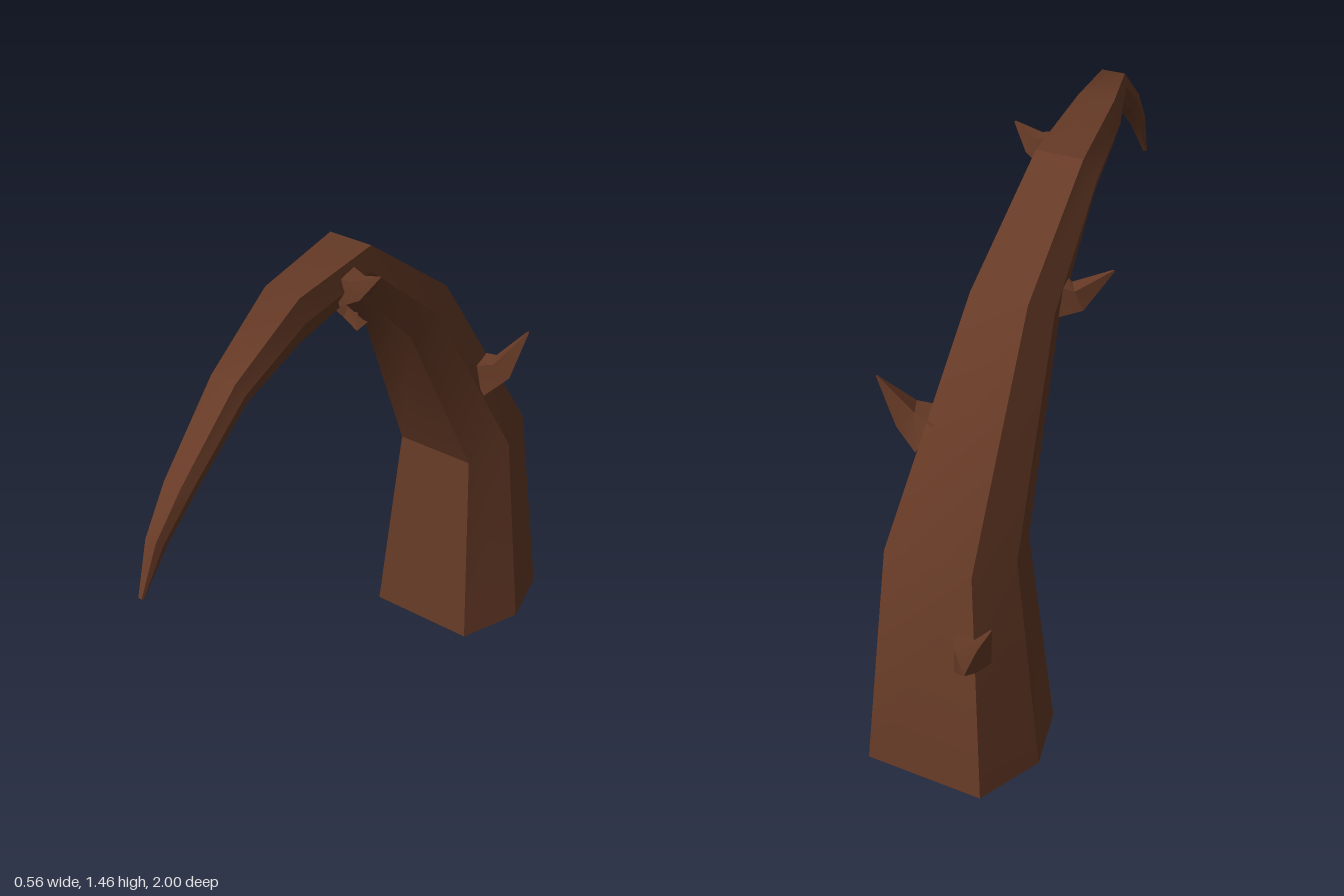
import * as THREE from 'three';
import { toCreasedNormals } from 'three/addons/utils/BufferGeometryUtils.js';

// Skin a list of rings (arrays of Vector3, counterclockwise about the direction of travel).
function loft(rings, closeEnd) {
  const pos = [];
  const tri = (...pts) => pts.forEach((p) => pos.push(p.x, p.y, p.z));
  for (let r = 0; r < rings.length - 1; r++) {
    const a = rings[r], b = rings[r + 1], n = a.length;
    for (let i = 0; i < n; i++) {
      const j = (i + 1) % n;
      tri(a[i], a[j], b[j]);
      tri(a[i], b[j], b[i]);
    }
  }
  if (closeEnd) {
    const end = rings[rings.length - 1];
    for (let i = 1; i < end.length - 1; i++) tri(end[0], end[i], end[i + 1]);
  }
  const g = new THREE.BufferGeometry();
  g.setAttribute('position', new THREE.Float32BufferAttribute(pos, 3));
  return toCreasedNormals(g, Math.PI / 6);
}

// Hexagonal ring: centre x, half width, inner (z, y) and outer (z, y) flats.
function hexRing([cx, hw, zi, yi, zo, yo]) {
  const f = hw * 0.73, zm = (zi + zo) / 2, ym = (yi + yo) / 2;
  const v = (x, y, z) => new THREE.Vector3(x, y, z);
  return [
    v(cx + hw, ym, zm), v(cx + f, yo, zo), v(cx - f, yo, zo),
    v(cx - hw, ym, zm), v(cx - f, yi, zi), v(cx + f, yi, zi),
  ];
}

// Bent four-sided thorn through base, middle and tip points.
function thornGeometry(base, mid, tip, half) {
  const pts = [base, mid, tip].map((p) => new THREE.Vector3(...p));
  const sizes = [half, half * 0.62, 0.002];
  const rings = pts.map((p, k) => {
    const t = pts[Math.min(k + 1, 2)].clone().sub(pts[Math.max(k - 1, 0)]).normalize();
    const u = new THREE.Vector3(0, 1, 0).cross(t).normalize();
    const w = t.clone().cross(u);
    return [[1, 1], [-1, 1], [-1, -1], [1, -1]].map(([a, b]) =>
      p.clone().addScaledVector(u, a * sizes[k]).addScaledVector(w, b * sizes[k]));
  });
  return loft(rings, true);
}

export function createModel() {
  const group = new THREE.Group();
  group.name = 'thornyTentacle';
  const bark = new THREE.MeshStandardMaterial({ color: 0x663a26, side: THREE.DoubleSide });
  bark.name = 'barkBrown';

  // Arching, tapering stem, open at the bottom
  const sections = [
    [-0.053, 0.231, -0.49, 0, -0.877, 0.01],
    [-0.053, 0.172, -0.535, 0.595, -0.815, 0.635],
    [-0.053, 0.112, -0.29, 1.095, -0.45, 1.195],
    [-0.029, 0.094, -0.035, 1.33, -0.095, 1.442],
    [0.065, 0.075, 0.285, 1.335, 0.285, 1.455],
    [0.19, 0.051, 0.6, 1.338, 0.635, 1.403],
    [0.246, 0.035, 0.82, 1.225, 0.87, 1.255],
    [0.257, 0.022, 0.92, 1.135, 0.957, 1.155],
    [0.256, 0.007, 0.992, 1.02, 1.0, 1.023],
  ];
  const stem = new THREE.Mesh(loft(sections.map(hexRing), true), bark);
  stem.name = 'stem';
  group.add(stem);

  // Thorns: base, middle, tip, half width
  const thorns = [
    ['backThorn', [-0.17, 0.425, -0.8], [-0.195, 0.438, -0.88], [-0.265, 0.505, -1.0], 0.045],
    ['rightThorn', [-0.115, 1.145, -0.27], [-0.17, 1.148, -0.26], [-0.235, 1.203, -0.187], 0.047],
    ['leftThorn', [0.065, 0.87, -0.595], [0.125, 0.907, -0.61], [0.178, 1.02, -0.653], 0.05],
    ['upperThorn', [0.075, 1.388, 0.05], [0.125, 1.398, 0.048], [0.183, 1.445, 0.05], 0.04],
  ];
  for (const [name, base, mid, tip, half] of thorns) {
    const thorn = new THREE.Mesh(thornGeometry(base, mid, tip, half), bark);
    thorn.name = name;
    group.add(thorn);
  }
  return group;
}
